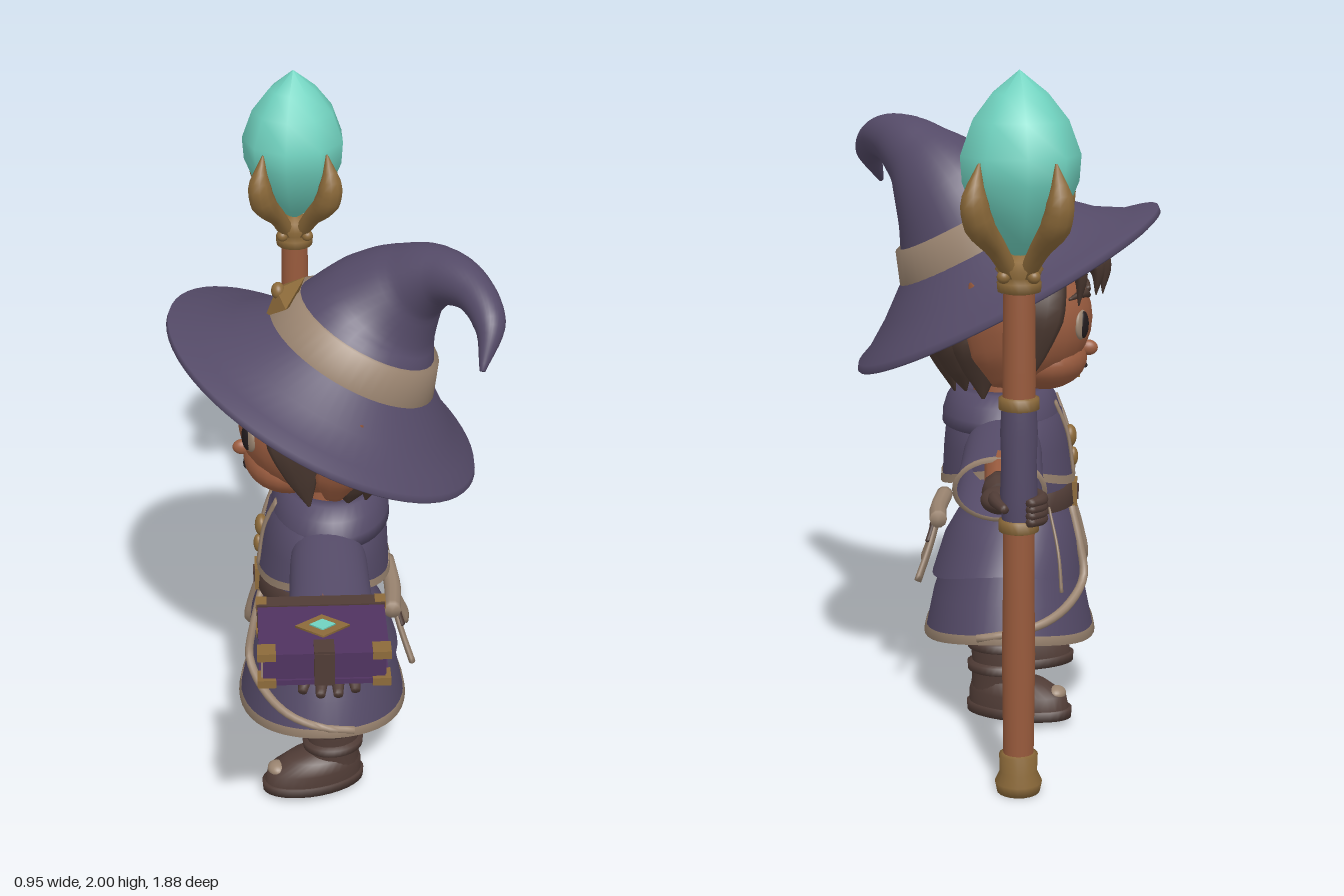
import * as THREE from 'three';

const V = (p) => new THREE.Vector3(...p);
const mat = (name, color, double) => {
  const m = new THREE.MeshStandardMaterial({ color });
  m.name = name;
  if (double) m.side = THREE.DoubleSide;
  return m;
};

// Skin a list of closed cross-sections, each a function angle -> [x, y, z]
function loft(sections, n = 32) {
  const pos = [], idx = [];
  sections.forEach((f, i) => {
    for (let j = 0; j < n; j++) {
      pos.push(...f((j / n) * Math.PI * 2));
      if (i === sections.length - 1) continue;
      const a = i * n + j, b = i * n + ((j + 1) % n);
      idx.push(a, a + n, b, b, a + n, b + n);
    }
  });
  const g = new THREE.BufferGeometry();
  g.setAttribute('position', new THREE.Float32BufferAttribute(pos, 3));
  g.setIndex(idx);
  g.computeVertexNormals();
  return g;
}

// Horizontal oval; dip lowers it at front and back
const oval = (y, rx, rz, cz = 0, dip = 0) => (a) =>
  [rx * Math.cos(a), y - dip * Math.sin(a) ** 2, cz + rz * Math.sin(a)];

// Round or flattened limb following a curve with changing radius
function taper(points, radii, { ref = [1, 0, 0], flat = 1, n = 10, seg = 14 } = {}) {
  const curve = new THREE.CatmullRomCurve3(points.map(V));
  const sections = [];
  const add = (t, k) => {
    const p = curve.getPoint(t), T = curve.getTangent(t);
    const N = T.clone().cross(V(ref)).normalize(), B = T.clone().cross(N);
    const f = t * (radii.length - 1), i = Math.min(Math.floor(f), radii.length - 2);
    const r = k * THREE.MathUtils.lerp(radii[i], radii[i + 1], f - i);
    sections.push((a) => p.clone().addScaledVector(N, r * Math.cos(a))
      .addScaledVector(B, -r * flat * Math.sin(a)).toArray());
  };
  add(0, 0);
  for (let i = 0; i <= seg; i++) add(i / seg, 1);
  add(1, 0);
  return loft(sections, n);
}

export function createModel() {
  const cloth = mat('purple cloth', 0x544a67, true), trim = mat('tan trim', 0x9a8470, true);
  const gold = mat('old gold', 0x8c6a3a), leather = mat('brown leather', 0x503c36, true);
  const hair = mat('dark hair', 0x4a3830, true), skin = mat('skin', 0x9c5d40);
  const wood = mat('staff wood', 0x985a3c), crystal = mat('teal crystal', 0x70d2bf);
  const cover = mat('violet cover', 0x503360), dark = mat('eye dark', 0x231c1e);

  const model = new THREE.Group();
  const group = (name, parent, p = [0, 0, 0]) => {
    const g = new THREE.Group();
    g.name = name;
    g.position.set(...p);
    parent.add(g);
    return g;
  };
  const body = group('wizard', model);
  body.rotation.y = -Math.PI / 2;
  const figure = group('figure', body, [0.026, 0, 0]);
  const hat = group('hat', body), arms = group('arms', body);
  const add = (name, geo, m, p = [0, 0, 0], parent = figure) => {
    const mesh = new THREE.Mesh(geo, m);
    mesh.name = name;
    mesh.position.set(...p);
    parent.add(mesh);
    return mesh;
  };
  const ball = (name, m, p, s, parent) => {
    const b = add(name, new THREE.SphereGeometry(1, 24, 16), m, p, parent);
    b.scale.set(...s);
    return b;
  };
  const box = (name, m, p, s, parent) => add(name, new THREE.BoxGeometry(...s), m, p, parent);
  const limb = (name, m, pts, radii) => add(name, taper(pts, radii, { ref: [0, 1, 0] }), m, [0, 0, 0], arms);
  const ribbon = (name, m, pts, radii, flat = 0.3) => add(name, taper(pts, radii, { ref: [0, 0, 1], flat }), m);

  // Hat: tilted brim, band and bent cone
  const brim = (r, drop) => (a) => {
    const c = Math.cos(a), s = Math.sin(a), L = THREE.MathUtils.lerp;
    return [L(0.035, 0.027, r) + c * L(0.262, 0.505, r),
      L(1.435, 1.29, r) + s * L(0.125, 0.24, r) - drop, L(-0.07, 0.02, r) + s * L(0.23, 0.455, r)];
  };
  add('hatBrim', loft([brim(0, 0.02), brim(0.5, 0.04), brim(0.97, 0.02), brim(1, 0.008),
    brim(0.98, -0.008), brim(0.75, 0.015), brim(0.4, 0.02), brim(0, 0)], 64), cloth, [0, 0, 0], hat);
  add('hatCone', taper([[0.035, 1.435, -0.07], [0.04, 1.57, -0.155], [0.09, 1.67, -0.245], [0.16, 1.715, -0.32],
    [0.26, 1.712, -0.39], [0.36, 1.66, -0.425], [0.44, 1.56, -0.4]],
  [0.262, 0.186, 0.115, 0.082, 0.058, 0.045, 0.008], { ref: [0, 0.4, 0.9], n: 32, seg: 40 }), cloth, [0, 0, 0], hat);
  const band = (h, r) => (a) => [0.035 + r * Math.cos(a), 1.435 + 0.477 * r * Math.sin(a) + 0.879 * h,
    -0.07 + 0.879 * r * Math.sin(a) - 0.477 * h];
  add('hatBand', loft([band(-0.01, 0.25), band(-0.01, 0.274), band(0.085, 0.237), band(0.085, 0.19)], 48), trim, [0, 0, 0], hat);
  const emblem = add('hatEmblem', new THREE.OctahedronGeometry(1), gold, [0.04, 1.605, 0.13], hat);
  emblem.scale.set(0.085, 0.085, 0.035);
  emblem.rotation.x = -0.75;
  ball('emblemStud', gold, [0.04, 1.625, 0.15], [0.025, 0.025, 0.02], hat);

  // Head, face and hair
  ball('head', skin, [0, 1.2, 0.03], [0.24, 0.22, 0.245]);
  ball('jaw', skin, [0, 1.075, 0.125], [0.165, 0.095, 0.135]);
  ball('nose', skin, [0, 1.105, 0.262], [0.02, 0.024, 0.03]);
  ball('mouth', dark, [0, 1.05, 0.253], [0.035, 0.004, 0.008]);
  ball('hairCap', hair, [0, 1.25, -0.015], [0.25, 0.215, 0.225]);
  add('neck', new THREE.CylinderGeometry(0.08, 0.09, 0.14, 16), skin, [0, 0.97, 0]);
  for (const s of [-1, 1]) {
    ball('eyeWhite', trim, [s * 0.105, 1.195, 0.242], [0.04, 0.045, 0.014]).rotation.y = s * 0.4;
    ball('eye', dark, [s * 0.105, 1.195, 0.248], [0.026, 0.041, 0.014]).rotation.y = s * 0.4;
    ribbon('eyebrow', hair, [[s * 0.05, 1.275, 0.262], [s * 0.1, 1.29, 0.248], [s * 0.16, 1.28, 0.207]], [0.008, 0.015, 0.004], 1);
    add('ear', taper([[s * 0.21, 1.04, 0], [s * 0.26, 1.13, -0.01], [s * 0.3, 1.23, -0.035], [s * 0.345, 1.36, -0.075]],
      [0.025, 0.066, 0.062, 0.004], { flat: 0.3 }), skin);
    add('sideLock', taper([[s * 0.19, 1.4, 0.13], [s * 0.24, 1.25, 0.12], [s * 0.23, 1.12, 0.09], [s * 0.215, 1.02, 0.07]],
      [0.07, 0.075, 0.045, 0.004], { flat: 0.4 }), hair);
  }
  for (const [x, z, tx, ty] of [[-0.17, 0.2, -0.21, 1.27], [-0.09, 0.25, -0.13, 1.29], [0, 0.27, -0.05, 1.28],
    [0.09, 0.25, 0.06, 1.27], [0.17, 0.2, 0.2, 1.27]]) {
    ribbon('fringeLock', hair, [[x * 0.9, 1.44, z - 0.05], [(x + tx) / 2, 1.37, z + 0.035], [tx, ty, z + 0.035]], [0.05, 0.058, 0.004], 0.45);
  }
  for (let i = -3; i <= 3; i++) {
    const a = i * 0.42, x = Math.sin(a), z = -Math.cos(a);
    add('backLock', taper([[x * 0.2, 1.3, z * 0.18], [x * 0.235, 1.17, z * 0.21 - 0.01],
      [x * 0.21, 1.07, z * 0.18], [x * 0.2, 1.0 + (i % 2) * 0.015, z * 0.15]], [0.05, 0.075, 0.055, 0.005], { ref: [x, 0, z], flat: 0.5 }), hair);
  }

  // Robe
  add('torso', loft([oval(0.6, 0.165, 0.145, 0.06), oval(0.72, 0.2, 0.155, 0.05), oval(0.88, 0.2, 0.14, 0.02),
    oval(0.96, 0.12, 0.1)]), cloth);
  add('capelet', loft([oval(0.785, 0.295, 0.2, 0.02, 0.07), oval(0.84, 0.285, 0.19, 0.015, 0.03),
    oval(0.91, 0.25, 0.175, 0.01), oval(0.96, 0.17, 0.14)], 40), cloth);
  add('capeletTrim', loft([oval(0.77, 0.299, 0.206, 0.02, 0.072), oval(0.795, 0.298, 0.204, 0.02, 0.07)], 40), trim);
  add('collar', loft([oval(0.88, 0.2, 0.15), oval(0.885, 0.25, 0.18), oval(0.92, 0.245, 0.178), oval(0.96, 0.215, 0.165),
    oval(0.99, 0.175, 0.145), oval(0.995, 0.145, 0.12), oval(0.95, 0.1, 0.09)], 40), cloth);
  add('upperSkirt', loft([oval(0.47, 0.308, 0.235, 0.022, 0.07), oval(0.54, 0.26, 0.21, 0.035, 0.02),
    oval(0.59, 0.215, 0.18, 0.045), oval(0.65, 0.165, 0.145, 0.06)], 48), cloth);
  add('lowerSkirt', loft([oval(0.28, 0.345, 0.258, 0.025, 0.055), oval(0.38, 0.31, 0.235, 0.025, 0.04),
    oval(0.5, 0.25, 0.19, 0.03)], 48), cloth);
  add('hemTrim', loft([oval(0.275, 0.339, 0.254, 0.025, 0.058), oval(0.273, 0.35, 0.265, 0.025, 0.058),
    oval(0.3, 0.343, 0.259, 0.025, 0.056)], 48), trim);
  add('belt', loft([oval(0.625, 0.17, 0.15, 0.06), oval(0.625, 0.188, 0.165, 0.06), oval(0.685, 0.184, 0.16, 0.06),
    oval(0.685, 0.16, 0.14, 0.06)]), leather);
  box('buckle', gold, [0, 0.655, 0.225], [0.075, 0.075, 0.015]);
  box('buckleCentre', leather, [0, 0.655, 0.23], [0.04, 0.04, 0.015]);
  ball('capeClasp', gold, [0, 0.83, 0.21], [0.03, 0.035, 0.02]);
  ball('capePendant', gold, [0, 0.765, 0.22], [0.02, 0.03, 0.015]);
  for (const s of [-1, 1]) {
    ribbon('capeFrontTrim', trim, [[s * 0.06, 0.95, 0.165], [s * 0.04, 0.85, 0.202], [s * 0.04, 0.72, 0.222]], [0.014, 0.014], 0.4);
    // Edge of the open outer robe, sweeping from the waist round to the side hem
    add('robeEdgeTrim', taper([[s * 0.05, 0.62, 0.215], [s * 0.08, 0.52, 0.24], [s * 0.11, 0.42, 0.255], [s * 0.2, 0.36, 0.215],
      [s * 0.29, 0.325, 0.14], [s * 0.334, 0.305, 0.04], [s * 0.325, 0.285, -0.06]], [0.012, 0.014, 0.012], { ref: [0, 0.3, -1], seg: 24 }), trim);
    ribbon('beltRibbon', trim, [[s * 0.15, 0.64, 0.15], [s * 0.23, 0.52, 0.18], [s * 0.255, 0.41, 0.19]], [0.014, 0.02]);
    // Rolled pack and ribbons behind the belt
    ribbon('packTail', trim, [[s * 0.055, 0.59, -0.19], [s * 0.09, 0.5, -0.215], [s * 0.13, 0.4, -0.25]], [0.03, 0.036]);
    ribbon('packStrap', leather, [[s * 0.05, 0.61, -0.195], [s * 0.07, 0.55, -0.208], [s * 0.085, 0.51, -0.22]], [0.031, 0.034]);
    ribbon('packCord', leather, [[0, 0.77, -0.15], [s * 0.025, 0.73, -0.15], [s * 0.05, 0.67, -0.13]], [0.008, 0.008], 1);
  }
  add('packRoll', taper([[-0.147, 0.6, -0.185], [0, 0.595, -0.195], [0.147, 0.6, -0.185]], [0.026, 0.026], { ref: [0, 1, 0] }), trim);

  // Sleeves, arms and gloves
  for (const s of [-1, 1]) {
    const sleeve = (x, lean, y, ry, rz) => (a) =>
      [s * (x + lean * Math.sin(a)), y + ry * Math.sin(a), 0.015 + s * rz * Math.cos(a)];
    add('sleeve', loft([sleeve(0.12, 0, 0.86, 0.09, 0.1), sleeve(0.26, 0, 0.84, 0.09, 0.115),
      sleeve(0.38, 0.015, 0.81, 0.09, 0.12), sleeve(0.475, 0.035, 0.785, 0.098, 0.13)]), cloth);
    add('sleeveTrim', loft([sleeve(0.452, 0.033, 0.786, 0.1, 0.131), sleeve(0.482, 0.037, 0.785, 0.104, 0.136),
      sleeve(0.482, 0.037, 0.785, 0.092, 0.122)]), trim);
    limb('arm', skin, [[s * 0.2, 0.85, 0.02], [s * 0.42, 0.84, 0.025], [s * 0.63, 0.83, 0.027]], [0.06, 0.055, 0.047]);
    limb('gloveCuff', leather, [[s * 0.605, 0.83, 0.027], [s * 0.64, 0.828, 0.027], [s * 0.68, 0.825, 0.03]], [0.054, 0.054, 0.042]);
    ball('palm', leather, [s * 0.69, 0.822, 0.03], [0.068, 0.038, 0.058], arms);
  }
  for (let i = 0; i < 4; i++) {
    const z = -0.025 + i * 0.035, y = 0.79 + i * 0.018;
    limb('leftFinger', leather, [[0.7, 0.825, z], [0.78, 0.815, z * 1.2], [0.875 - Math.abs(i - 1.5) * 0.02, 0.79, z * 1.4]], [0.023, 0.023, 0.013]);
    limb('rightFinger', leather, [[-0.68, y, 0.06], [-0.715, y, 0.125], [-0.76, y, 0.142], [-0.81, y, 0.11]], [0.018, 0.019, 0.018, 0.012]);
  }
  limb('leftThumb', leather, [[0.67, 0.81, 0.06], [0.71, 0.785, 0.1], [0.78, 0.77, 0.11]], [0.022, 0.022, 0.012]);
  limb('rightThumb', leather, [[-0.66, 0.83, 0.02], [-0.74, 0.835, 0.015], [-0.81, 0.825, 0.045]], [0.02, 0.02, 0.011]);

  // Legs and boots
  for (const s of [-1, 1]) {
    add('leg', new THREE.CylinderGeometry(0.07, 0.065, 0.24, 16), skin, [s * 0.17, 0.38, 0]);
    const boot = group('boot', figure, [s * 0.21, 0, 0]);
    boot.rotation.y = s * 0.25;
    add('bootShaft', loft([oval(0.08, 0.065, 0.085), oval(0.17, 0.063, 0.08), oval(0.28, 0.075, 0.09), oval(0.28, 0.05, 0.06)]), leather, [0, 0, 0], boot);
    for (const y of [0.165, 0.235]) {
      add('bootStrap', loft([oval(y - 0.018, 0.06, 0.075), oval(y - 0.012, 0.078, 0.094), oval(y + 0.012, 0.08, 0.096),
        oval(y + 0.018, 0.06, 0.075)]), leather, [0, 0, 0], boot);
    }
    add('bootFoot', loft([oval(0.045, 0.08, 0.155, 0.065), oval(0.09, 0.08, 0.15, 0.06), oval(0.125, 0.065, 0.115, 0.035),
      oval(0.145, 0.03, 0.06, 0.01), oval(0.145, 0, 0, 0.01)]), leather, [0, 0, 0], boot);
    add('bootSole', loft([oval(0.02, 0, 0, 0.065), oval(0.02, 0.084, 0.162, 0.065), oval(0.05, 0.086, 0.164, 0.065),
      oval(0.05, 0.07, 0.14, 0.065)]), leather, [0, 0, 0], boot);
    ball('toePatch', trim, [0, 0.093, 0.182], [0.034, 0.022, 0.029], boot);
  }

  // Staff with grip, prongs and crystal
  const staff = group('staff', body, [-0.755, 0, 0.08]);
  const turned = (name, pts, m, n = 20) =>
    add(name, new THREE.LatheGeometry(pts.map((p) => new THREE.Vector2(...p)), n), m, [0, 0, 0], staff);
  turned('staffShaft', [[0.042, 0.08], [0.046, 0.4], [0.043, 0.6], [0.045, 1.2], [0.042, 1.44]], wood);
  turned('staffFoot', [[0, 0], [0.06, 0], [0.066, 0.03], [0.052, 0.06], [0.054, 0.11], [0.04, 0.115]], gold);
  turned('staffGrip', [[0.046, 0.78], [0.051, 0.86], [0.048, 0.95], [0.051, 1.03], [0.047, 1.1]], cloth);
  for (const y of [0.77, 1.11]) turned('staffRing', [[0.04, y - 0.02], [0.055, y - 0.015], [0.055, y + 0.015], [0.04, y + 0.02]], gold);
  turned('staffCollar', [[0.04, 1.41], [0.058, 1.415], [0.06, 1.44], [0.05, 1.455], [0.065, 1.475], [0.05, 1.5], [0, 1.52]], gold);
  turned('crystal', [[0, 1.5], [0.07, 1.55], [0.125, 1.63], [0.158, 1.71], [0.163, 1.78], [0.13, 1.87], [0.075, 1.94], [0, 2]], crystal, 9);
  for (const sx of [-1, 1]) for (const sz of [-1, 1]) {
    const at = (r, y) => [sx * r * 0.8, y, sz * r * 0.6];
    add('prong', taper([at(0.03, 1.46), at(0.095, 1.54), at(0.165, 1.61), at(0.185, 1.675), at(0.165, 1.77)],
      [0.022, 0.028, 0.041, 0.038, 0.003], { ref: [sz * 0.6, 0, -sx * 0.8] }), gold, [0, 0, 0], staff);
    ball('collarStud', gold, [sx * 0.045, 1.46, sz * 0.04], [0.018, 0.018, 0.018], staff);
  }

  // Floating book
  const book = group('book', body, [0.8, 0.93, 0.055]);
  box('pages', trim, [0, 0, 0.005], [0.25, 0.075, 0.33], book);
  box('pageEnd', cover, [0, 0, -0.163], [0.25, 0.075, 0.008], book);
  box('pageFace', cover, [0.127, 0, 0], [0.008, 0.075, 0.33], book);
  box('spine', leather, [-0.127, 0, 0], [0.03, 0.1, 0.355], book);
  for (const s of [-1, 1]) {
    box('bookCover', cover, [0, s * 0.042, 0], [0.275, 0.016, 0.35], book);
    box('spineBar', leather, [-0.115, s * 0.048, 0], [0.045, 0.012, 0.355], book);
    for (const z of [-1, 1]) {
      box('bookCorner', gold, [0.118, s * 0.043, z * 0.155], [0.05, 0.024, 0.05], book);
      box('spineCorner', gold, [-0.12, s * 0.043, z * 0.165], [0.04, 0.024, 0.03], book);
    }
    const diamond = (name, m, r, y) => {
      const d = add(name, new THREE.CylinderGeometry(r, r, 0.008, 4), m, [0.01, s * y, 0], book);
      d.scale.x = 0.7;
    };
    diamond('coverDiamond', gold, 0.075, 0.052);
    diamond('coverGem', crystal, 0.036, 0.056);
  }
  box('strap', leather, [0.137, 0, 0], [0.012, 0.1, 0.055], book);
  box('strapTop', leather, [0.11, 0.052, 0], [0.06, 0.01, 0.055], book);
  return model;
}
